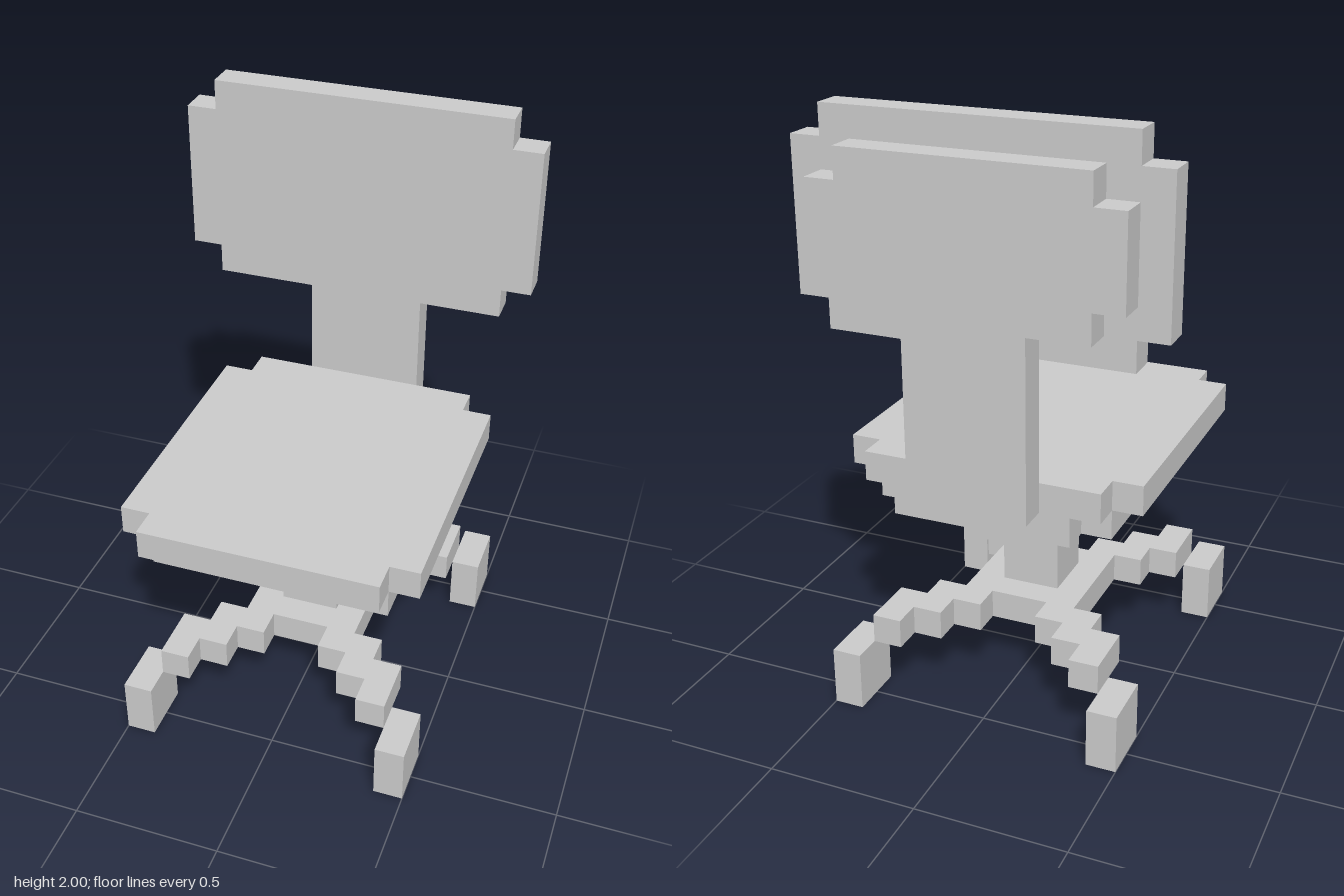
import * as THREE from 'three';

const material = new THREE.MeshStandardMaterial({ color: 0xcccccc, flatShading: true });
const THICK = 0.1;

// Slab from the +x half of an outline, listed from low to high, mirrored across x = 0
function slabGeometry(half) {
  const mirrored = half.map(([x, y]) => [-x, y]).reverse();
  const shape = new THREE.Shape([...half, ...mirrored].map(([x, y]) => new THREE.Vector2(x, y)));
  return new THREE.ExtrudeGeometry(shape, { depth: THICK, bevelEnabled: false });
}

// Upright slab: outline in x/y, back face at z
function uprightSlab(name, half, z) {
  const mesh = new THREE.Mesh(slabGeometry(half).translate(0, 0, z), material);
  mesh.name = name;
  return mesh;
}

// Flat slab: outline in x/z, top face at y
function flatSlab(name, half, y) {
  const mesh = new THREE.Mesh(slabGeometry(half).rotateX(Math.PI / 2).translate(0, y, 0), material);
  mesh.name = name;
  return mesh;
}

function box(name, size, position) {
  const mesh = new THREE.Mesh(new THREE.BoxGeometry(...size), material);
  mesh.position.set(...position);
  mesh.name = name;
  return mesh;
}

export function createModel() {
  const chair = new THREE.Group();
  chair.name = 'officeChair';

  // Backrest cushion with notched corners
  chair.add(uprightSlab('backrestCushion',
    [[0.5, 1.3], [0.5, 1.4], [0.6, 1.4], [0.6, 1.9], [0.5, 1.9], [0.5, 2]], -0.5));

  // Rear shell and its support down to the seat
  chair.add(uprightSlab('backrestSupport',
    [[0.2, 0.8], [0.2, 1.4], [0.4, 1.4], [0.4, 1.5], [0.5, 1.5], [0.5, 1.8], [0.4, 1.8], [0.4, 1.9]], -0.6));

  // Seat cushion and the smaller pan below it
  chair.add(flatSlab('seatCushion',
    [[0.4, -0.5], [0.4, -0.4], [0.5, -0.4], [0.5, 0.5], [0.4, 0.5], [0.4, 0.6]], 0.9));
  chair.add(flatSlab('seatPan', [[0.3, -0.5], [0.3, -0.4], [0.4, -0.4], [0.4, 0.5]], 0.8));

  // Central column
  chair.add(box('column', [0.2, 0.4, 0.2], [0, 0.5, 0]));

  // Stepped four-armed base: one arm outline, mirrored front to back
  const arm = [[0.2, 0.2], [0.3, 0.2], [0.3, 0.3], [0.4, 0.3], [0.4, 0.5], [0.3, 0.5],
    [0.3, 0.4], [0.2, 0.4], [0.2, 0.3], [0.1, 0.3], [0.1, 0.2]];
  const rearArm = arm.map(([x, z]) => [x, -z]).reverse();
  chair.add(flatSlab('base', [...rearArm, ...arm], 0.3));

  // Casters just outside the arm tips
  for (const [side, x] of [['Left', 0.45], ['Right', -0.45]]) {
    for (const [end, z] of [['front', 0.5], ['rear', -0.5]]) {
      chair.add(box(`${end}${side}Caster`, [0.1, 0.2, 0.2], [x, 0.1, z]));
    }
  }
  return chair;
}
